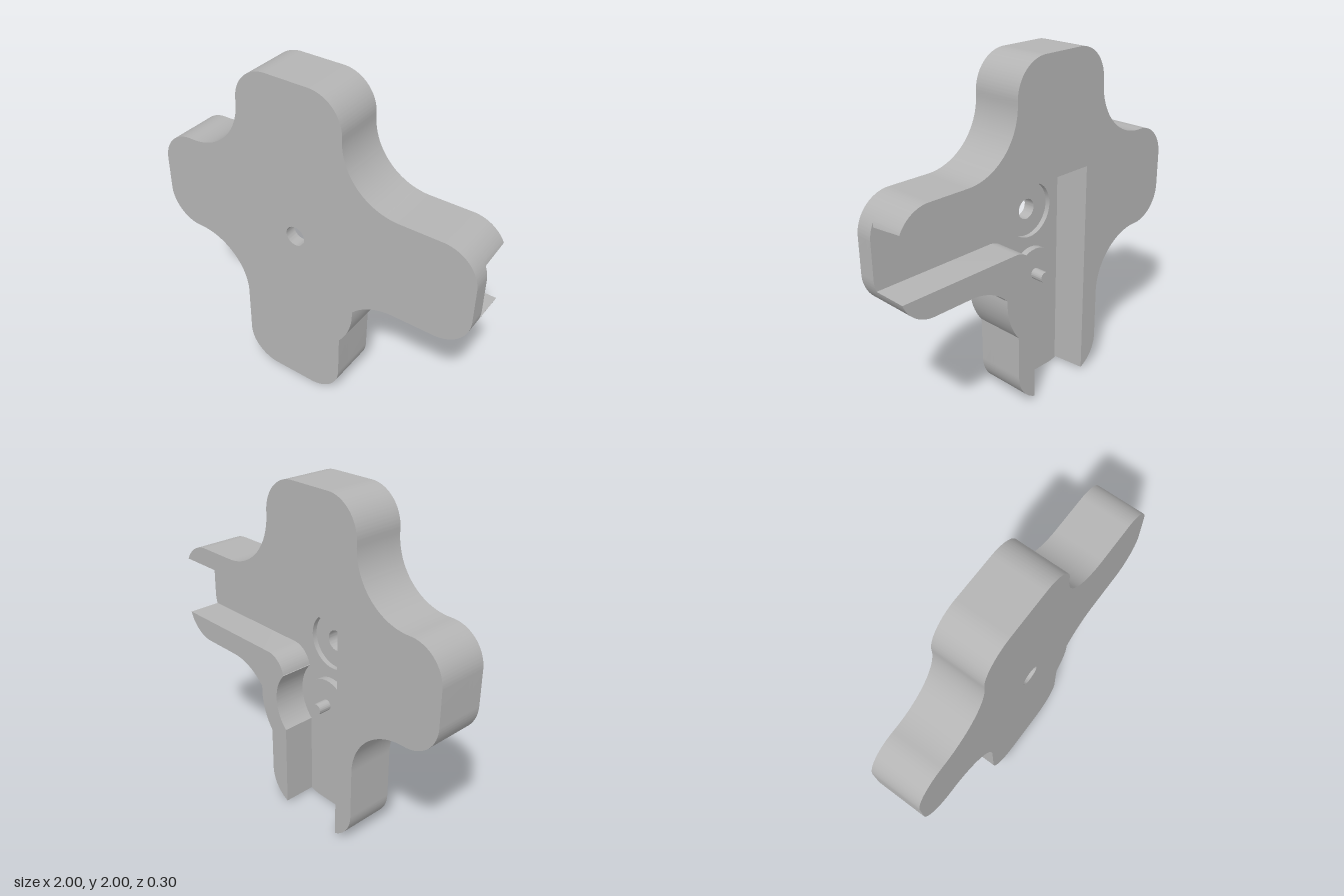
import * as THREE from 'three';
import { toCreasedNormals } from 'three/addons/utils/BufferGeometryUtils.js';

const { PI, atan2 } = Math;
const H = PI / 2;
const WHEEL = [-0.075, 0.7];
const HOLE = [-0.075, 1.08];
const FLOOR = 0.05; // z of the channel floor

// Cross outline from the bottom-arm corner round to the +x arm tip
function outerEdge(s, start, end) {
  s.absarc(-0.24, 0.2, 0.2, start, PI, true);
  s.absarc(-0.78, 0.5, 0.34, 0, H, false);
  s.absarc(-0.8, 1.04, 0.2, -H, PI, true);
  s.absarc(-0.8, 1.24, 0.2, PI, H, true);
  s.absarc(-0.78, 1.78, 0.34, -H, 0, false);
  s.absarc(-0.24, 1.8, 0.2, PI, H, true);
  s.absarc(0.02, 1.8, 0.2, H, 0, true);
  s.absarc(0.56, 1.78, 0.34, PI, 3 * H, false);
  s.absarc(0.8, 1.24, 0.2, H, end, true);
}

// Outline from the +x arm tip past the wheel bulge to the bottom
function innerEdge(s, start, end) {
  s.absarc(0.8, 1.04, 0.2, start, -H, true);
  s.absarc(0.56, 0.5, 0.34, H, atan2(0.23, -0.255), false);
  s.absarc(...WHEEL, 0.38, atan2(0.03, 0.38), atan2(-0.235, 0.295), true);
  s.absarc(0.02, 0.2, 0.2, 0, end, true);
}

function crossWithHole(radius) {
  const s = new THREE.Shape();
  outerEdge(s, -H, 0);
  innerEdge(s, 0, -H);
  s.holes.push(new THREE.Path().absarc(...HOLE, radius, 0, 2 * PI, false));
  return s;
}

function extrude(shape, z0, z1) {
  const g = new THREE.ExtrudeGeometry(shape, { depth: z1 - z0, bevelEnabled: false, curveSegments: 24 });
  return g.translate(0, 0, z0);
}

export function createModel() {
  const group = new THREE.Group();
  const grey = new THREE.MeshStandardMaterial({ color: 0xb4b4b4 });
  grey.name = 'grey';

  const add = (name, geometry) => {
    const mesh = new THREE.Mesh(toCreasedNormals(geometry, 0.5), grey);
    mesh.name = name;
    group.add(mesh);
    return mesh;
  };

  // Front plate with through hole, and the layer holding the round recess
  add('frontPlate', extrude(crossWithHole(0.06), 0.08, 0.15));
  add('channelFloor', extrude(crossWithHole(0.16), FLOOR, 0.08));

  // Large back block outside the L-shaped channel
  const outer = new THREE.Shape();
  outerEdge(outer, atan2(-0.1833, -0.08), atan2(0.09, 0.1786));
  outer.lineTo(-0.32, 1.33);
  const outerGeo = extrude(outer, -0.15, FLOOR);
  // Slant the two channel walls towards the floor
  const p = outerGeo.attributes.position;
  for (let i = 0; i < p.count; i++) {
    if (p.getZ(i) < 0) continue;
    const x = p.getX(i), y = p.getY(i);
    if (Math.abs(x + 0.32) < 0.001 && y < 1.4) p.setX(i, -0.3);
    if (Math.abs(y - 1.33) < 0.001 && x > -0.33) p.setY(i, 1.31);
  }
  add('outerBackBlock', outerGeo);

  // Small back block inside the channel, with the curved wheel pocket
  const inner = new THREE.Shape();
  innerEdge(inner, Math.asin(-0.065 / 0.2), atan2(-0.1854, 0.075));
  inner.absarc(...WHEEL, 0.25, atan2(-0.18, 0.17), atan2(0.17, 0.185), false);
  inner.absarc(0.24, 0.845, 0.13, PI - 0.2, H, true);
  add('innerBackBlock', extrude(inner, -0.15, FLOOR));

  // Wheel disc and its pin
  const rod = (name, r, z0, z1) => {
    const g = new THREE.CylinderGeometry(r, r, z1 - z0, 40);
    g.rotateX(H).translate(...WHEEL, (z0 + z1) / 2);
    add(name, g);
  };
  rod('wheelDisc', 0.155, 0.01, 0.06);
  rod('wheelPin', 0.032, -0.07, 0.02);

  return group;
}
